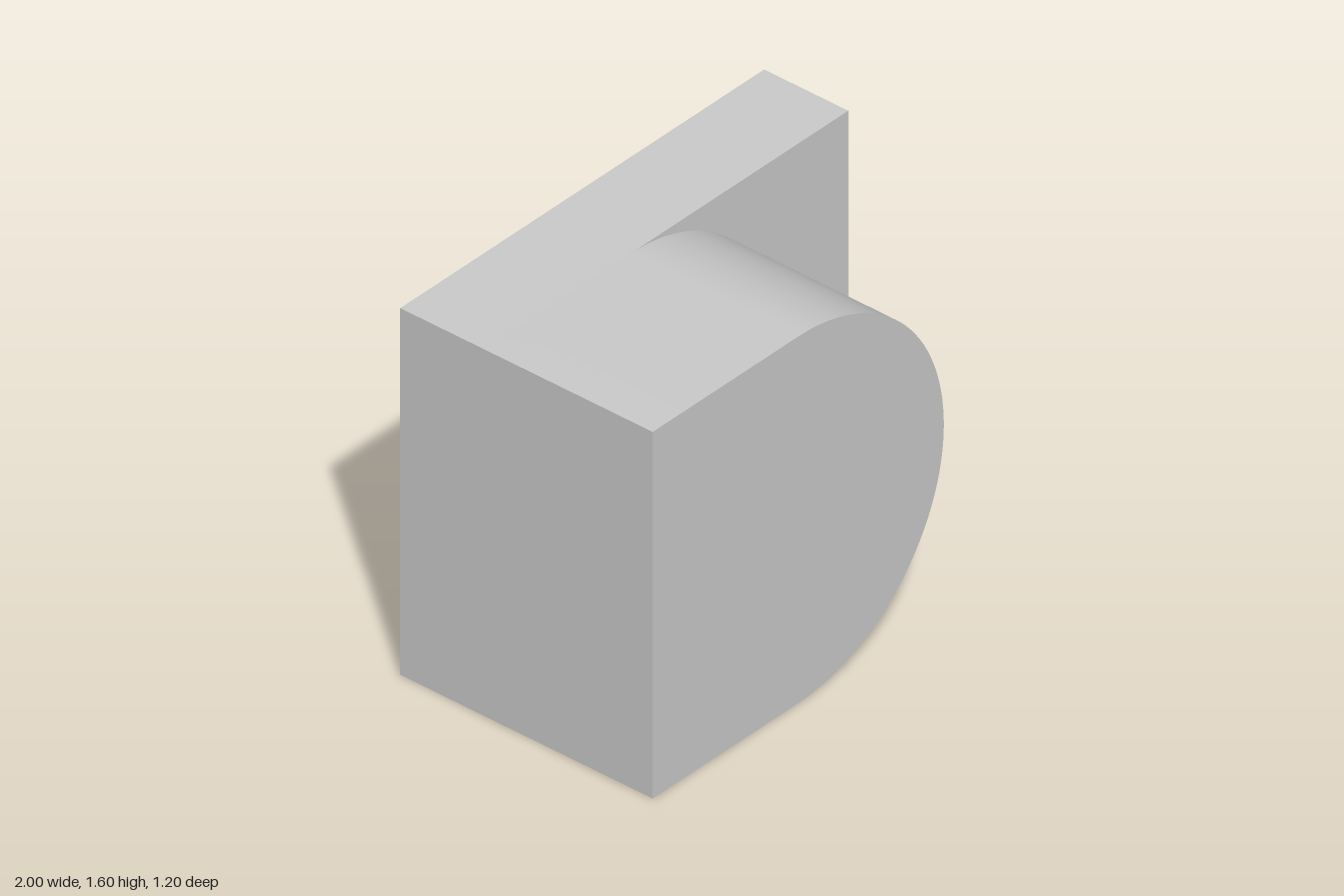
import * as THREE from 'three';
import { toCreasedNormals } from 'three/addons/utils/BufferGeometryUtils.js';

export function createModel() {
  const group = new THREE.Group();
  group.name = 'roundedBracket';
  const material = new THREE.MeshStandardMaterial({ color: 0xcccccc });

  // Rectangular plate across the full width at the back
  const plate = new THREE.Mesh(new THREE.BoxGeometry(2, 1.6, 0.4), material);
  plate.name = 'backPlate';
  plate.position.set(0, 0.8, -0.4);
  group.add(plate);

  // Front block: square on its right side, half-round on its left (+x)
  const radius = 0.8;
  const profile = new THREE.Shape();
  profile.moveTo(-1, 0);
  profile.lineTo(-0.2, 0);
  profile.absarc(-0.2, radius, radius, -Math.PI / 2, Math.PI / 2, false);
  profile.lineTo(-1, 2 * radius);
  profile.closePath();
  const blockGeometry = new THREE.ExtrudeGeometry(profile, {
    depth: 0.8,
    bevelEnabled: false,
    curveSegments: 32,
  });
  const block = new THREE.Mesh(toCreasedNormals(blockGeometry, Math.PI / 6), material);
  block.name = 'roundedBlock';
  block.position.z = -0.2;
  group.add(block);

  return group;
}
